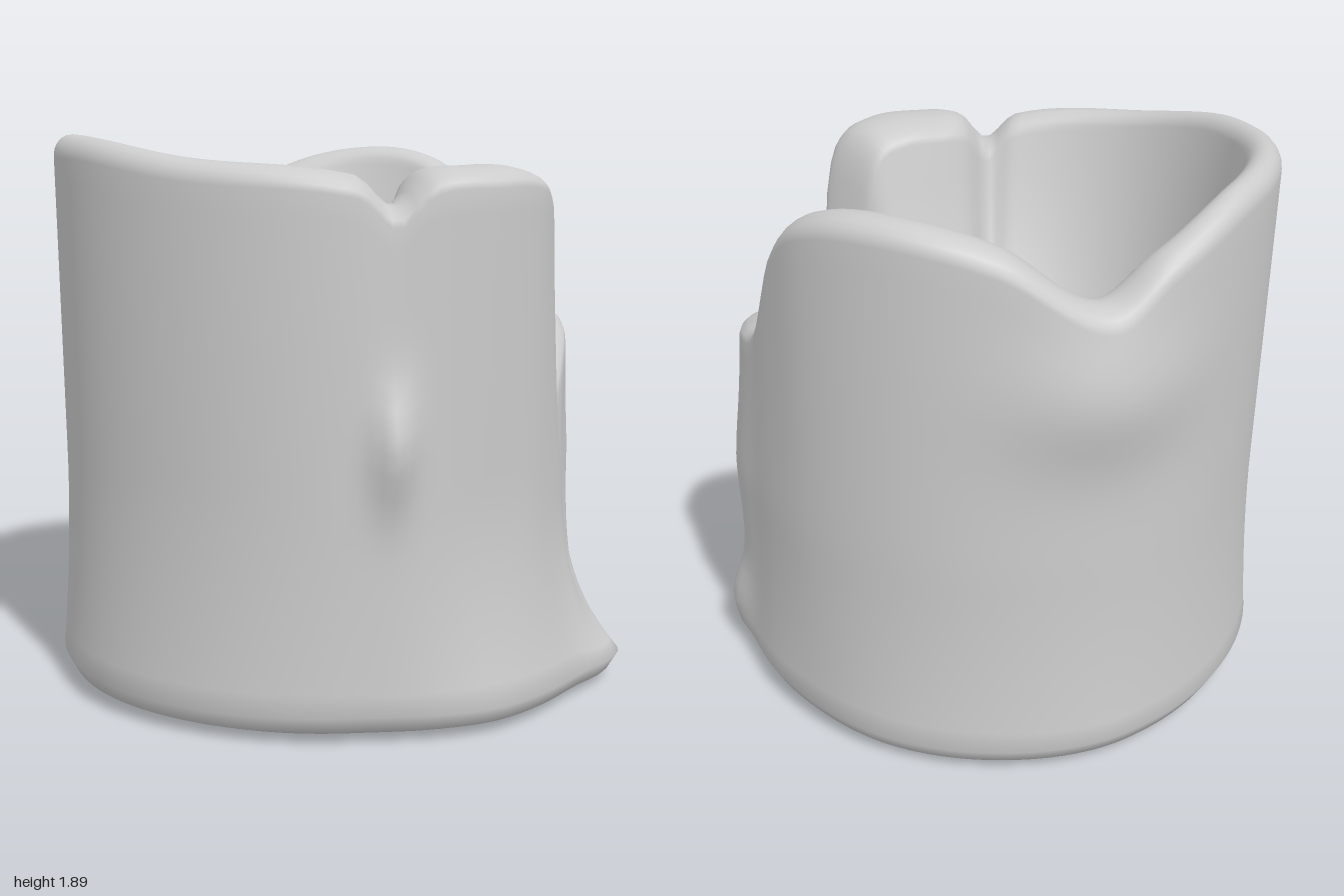
import * as THREE from 'three';

// Melted wall by compass angle (0 = front, 90 = left):
// [angle, rim height, base radius, waist radius, rim radius, inner radius]
const WALL = [
  [0, 1.78, 1.0, 0.92, 0.95, 0.59],
  [12, 1.78, 1.0, 0.92, 0.93, 0.59],
  [22, 1.73, 1.0, 0.90, 0.88, 0.61],
  [27, 1.58, 1.01, 0.89, 0.85, 0.62],
  [31, 1.28, 1.03, 0.88, 0.82, 0.62],
  [35, 1.14, 1.05, 0.86, 0.80, 0.61],
  [42, 1.01, 1.06, 0.84, 0.80, 0.61],
  [52, 1.14, 0.97, 0.87, 0.84, 0.58],
  [65, 1.26, 0.95, 0.90, 0.87, 0.56],
  [82, 1.32, 0.95, 0.92, 0.88, 0.56],
  [93, 1.38, 0.94, 0.90, 0.86, 0.60],
  [104, 1.69, 0.94, 0.90, 0.85, 0.67],
  [117, 1.83, 0.94, 0.91, 0.87, 0.71],
  [137, 1.87, 0.96, 0.92, 0.88, 0.72],
  [160, 1.80, 0.97, 0.93, 0.89, 0.72],
  [181, 1.62, 0.98, 0.94, 0.92, 0.74],
  [195, 1.75, 0.97, 0.94, 0.93, 0.79],
  [218, 1.88, 0.96, 0.93, 0.94, 0.82],
  [270, 1.87, 0.98, 0.95, 0.97, 0.84],
  [300, 1.80, 0.96, 0.93, 0.95, 0.81],
  [333, 1.75, 0.94, 0.92, 0.91, 0.72],
  [341, 1.66, 0.95, 0.92, 0.90, 0.70],
  [348, 1.76, 0.97, 0.92, 0.92, 0.63],
];
const SEGMENTS = 160, OUTER = 22, RIM = 10, INNER = 18;
const FLOOR = 0.87, ROUND = 0.07, FOOT = 0.1;

// Wall row for any angle, by a smooth closed curve through the table
function wallAt(deg) {
  const n = WALL.length;
  const rowAt = (i) => {
    const turn = Math.floor(i / n), row = WALL[i - turn * n];
    return [row[0] + 360 * turn, ...row.slice(1)];
  };
  let k = n - 1;
  while (WALL[k][0] > deg) k--;
  const [o, a, b, e] = [k - 1, k, k + 1, k + 2].map(rowAt);
  const span = b[0] - a[0], u = (deg - a[0]) / span;
  return a.map((v, c) => {
    const m0 = (b[c] - o[c]) / (b[0] - o[0]) * span;
    const m1 = (e[c] - v) / (e[0] - a[0]) * span;
    const d = b[c] - v;
    return v + u * (m0 + u * (3 * d - 2 * m0 - m1 + u * (m0 + m1 - 2 * d)));
  });
}

// Raised wax run: gaussian in angle and height
const bump = (deg, y, d0, y0, dw, yw, h) =>
  h * Math.exp(-(((deg - d0) / dw) ** 2) - ((y - y0) / yw) ** 2);

function outerRadius(deg, y, [, H, base, waist, top]) {
  const mid = Math.min(0.75, H * 0.6);
  const r = y < mid
    ? THREE.MathUtils.lerp(waist, base, ((mid - y) / (mid - FOOT)) ** 2)
    : THREE.MathUtils.lerp(waist, top, (y - mid) / (H - mid));
  return r + bump(deg, y, 340, 0.93, 4, 0.16, 0.07)
    + bump(deg, y, 180, 1.34, 18, 0.2, 0.06)
    + bump(deg, y, 80, 0.2, 6, 0.13, 0.05)
    + bump(deg, y, 76, 0.75, 8, 0.25, 0.02)
    - bump(deg, y, 56, 0.6, 7, 0.4, 0.04);
}

// Cross-section from the bottom centre, up the wall, over the rim, into the hollow
function section(deg) {
  const row = wallAt(deg), [, H, base, , , inner] = row;
  const shoulder = H - ROUND;
  const pts = [[0, 0.005], [base * 0.5, 0.005], [base * 0.82, 0.005], [base * 0.9, 0.015], [base * 0.97, 0.045]];
  for (let j = 0; j <= OUTER; j++) {
    const y = THREE.MathUtils.lerp(FOOT, shoulder, j / OUTER);
    pts.push([outerRadius(deg, y, row), y]);
  }
  const rOut = pts[pts.length - 1][0];
  const mid = (rOut + inner) / 2, half = (rOut - inner) / 2;
  for (let j = 1; j < RIM; j++) {
    const t = Math.PI * j / RIM;
    pts.push([mid + half * Math.cos(t), shoulder + ROUND * Math.sin(t)]);
  }
  for (let j = 0; j <= INNER; j++) {
    const s = 1 - j / INNER;
    pts.push([inner * s, FLOOR + (shoulder - FLOOR) * s ** 3.2]);
  }
  return pts;
}

function waxGeometry() {
  const positions = [], index = [];
  let rows = 0;
  for (let i = 0; i < SEGMENTS; i++) {
    const deg = 360 * i / SEGMENTS, a = THREE.MathUtils.degToRad(deg);
    const pts = section(deg);
    rows = pts.length;
    for (const [r, y] of pts) positions.push(r * Math.sin(a), y, r * Math.cos(a));
  }
  for (let i = 0; i < SEGMENTS; i++) {
    const p = i * rows, q = ((i + 1) % SEGMENTS) * rows;
    for (let j = 0; j < rows - 1; j++) {
      if (j > 0) index.push(p + j, q + j, q + j + 1);
      if (j < rows - 2) index.push(p + j, q + j + 1, p + j + 1);
    }
  }
  const g = new THREE.BufferGeometry();
  g.setAttribute('position', new THREE.Float32BufferAttribute(positions, 3));
  g.setIndex(index);
  g.computeVertexNormals();
  return g;
}

export function createModel() {
  const group = new THREE.Group();
  group.name = 'meltedCandle';
  const material = new THREE.MeshStandardMaterial({ color: 0xcccccc });

  // Hollowed wax body
  const wax = new THREE.Mesh(waxGeometry(), material);
  wax.name = 'waxBody';
  group.add(wax);

  // Short bent wick
  const path = new THREE.CatmullRomCurve3([
    new THREE.Vector3(-0.04, FLOOR - 0.03, -0.02),
    new THREE.Vector3(-0.05, 0.96, -0.02),
    new THREE.Vector3(-0.035, 1.05, -0.03),
  ]);
  const wick = new THREE.Mesh(new THREE.TubeGeometry(path, 10, 0.01, 8), material);
  wick.name = 'wick';
  group.add(wick);

  return group;
}
